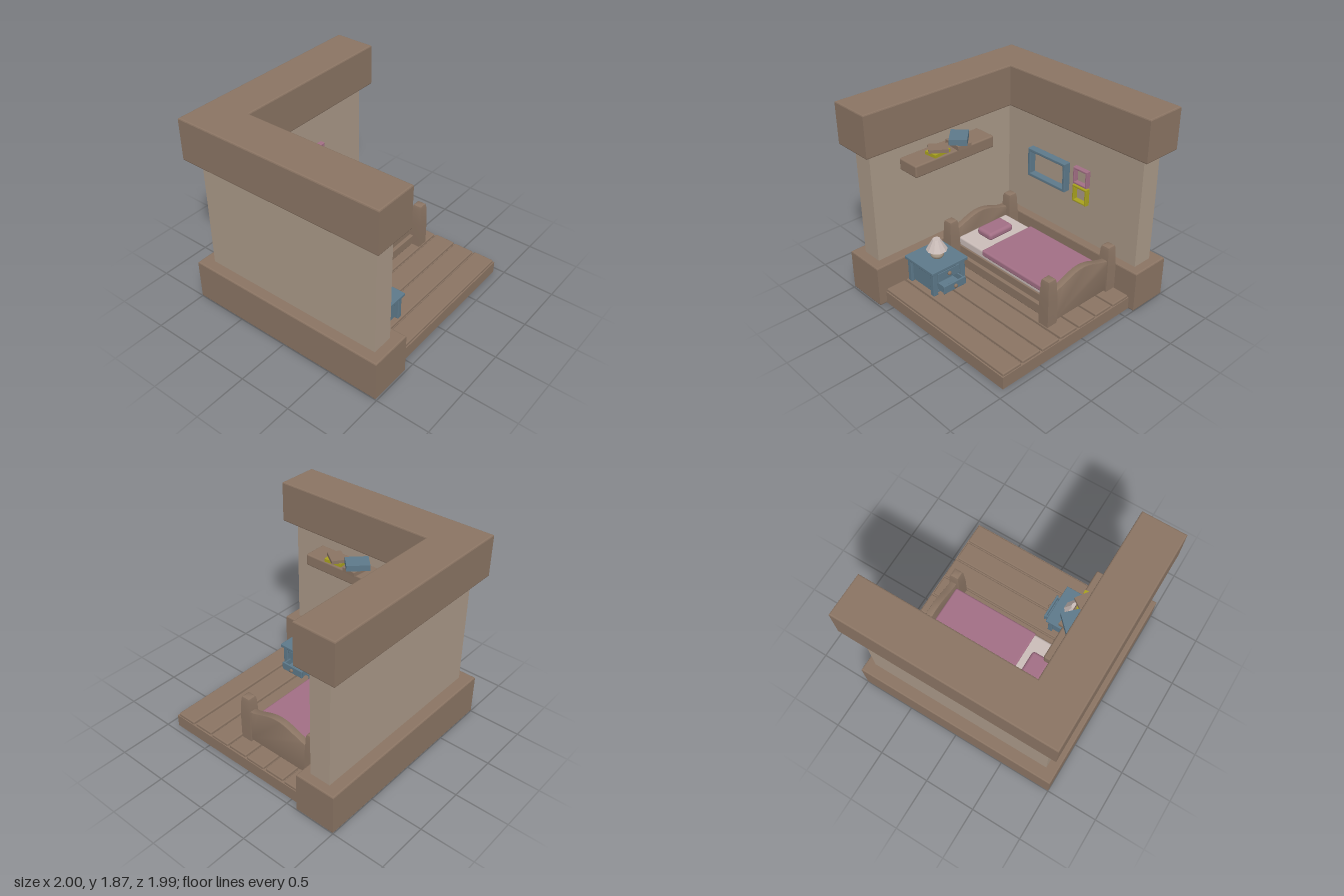
import * as THREE from 'three';
import { RoundedBoxGeometry } from 'three/addons/geometries/RoundedBoxGeometry.js';
import { toCreasedNormals } from 'three/addons/utils/BufferGeometryUtils.js';

const paint = (name, color) => {
  const m = new THREE.MeshStandardMaterial({ color });
  m.name = name;
  return m;
};

export function createModel() {
  const wood = paint('wood', 0x8a7463), plaster = paint('plaster', 0xa99887);
  const blue = paint('blue', 0x5d798a), pink = paint('pink', 0xa26f85);
  const yellow = paint('yellow', 0xa8a11f), linen = paint('linen', 0xcabcb8);
  const clay = paint('clay', 0xa39483);
  const room = new THREE.Group();
  room.name = 'bedroom';

  const add = (name, geo, mat, parent = room) => {
    const m = new THREE.Mesh(geo, mat);
    m.name = name;
    parent.add(m);
    return m;
  };
  const group = (name) => {
    const g = new THREE.Group();
    g.name = name;
    room.add(g);
    return g;
  };
  // Box from its limits; r is the edge rounding
  const box = (name, mat, [x0, x1], [y0, y1], [z0, z1], r = 0, parent = room) => {
    const s = [x1 - x0, y1 - y0, z1 - z0];
    const geo = r ? new RoundedBoxGeometry(...s, 2, r) : new THREE.BoxGeometry(...s);
    const m = add(name, geo, mat, parent);
    m.position.set((x0 + x1) / 2, (y0 + y1) / 2, (z0 + z1) / 2);
    return m;
  };
  const polygon = (pts) => new THREE.Shape(pts.map(([x, y]) => new THREE.Vector2(x, y)));
  const extrude = (shape, depth, b) => new THREE.ExtrudeGeometry(shape, {
    depth: depth - 2 * b, bevelEnabled: b > 0, bevelThickness: b, bevelSize: b,
    bevelOffset: -b, bevelSegments: 2, curveSegments: 12,
  }).translate(0, 0, b);

  // L-shaped walls: plinth, plaster and top beam
  const corner = (name, mat, x0, x1, x2, z0, z1, z2, y0, y1, b) => {
    const s = polygon([[x0, -z2], [x1, -z2], [x1, -z1], [x2, -z1], [x2, -z0], [x0, -z0]]);
    add(name, extrude(s, y1 - y0, b).rotateX(-Math.PI / 2), mat).position.y = y0;
  };
  corner('wallPlinth', wood, -1, -0.6, 1, -1, -0.61, 0.99, 0, 0.4, 0.012);
  corner('wall', plaster, -0.9, -0.7, 0.915, -0.89, -0.69, 0.9, 0.38, 1.5, 0);
  corner('wallBeam', wood, -1, -0.6, 1, -1, -0.61, 0.99, 1.475, 1.87, 0.012);

  // Floor slab and seven planks
  box('floorSlab', wood, [-0.62, 0.94], [0, 0.12], [-0.63, 0.915]);
  const planks = group('floorPlanks');
  for (let i = 0; i < 7; i++) {
    const z = -0.605 + i * 0.218;
    box('plank', wood, [-0.61, 0.932 - (i % 2) * 0.006], [0.11, 0.147], [z, z + 0.2], 0.012, planks);
  }

  // Bed
  const bed = group('bed');
  const q = Math.SQRT2;
  const postGeo = toCreasedNormals(new THREE.LatheGeometry([
    [0, 0], [0.055, 0], [0.055, 0.25], [0.046, 0.425], [0.04, 0.45], [0.024, 0.46], [0, 0.46],
  ].map(([r, y]) => new THREE.Vector2(r * q, y)), 4).rotateY(Math.PI / 4), 0.6);
  for (const x of [-0.54, 0.715]) for (const z of [-0.55, 0.19]) {
    add('bedPost', postGeo, wood, bed).position.set(x, 0.145, z);
  }
  // Arched boards at head and foot
  const arch = new THREE.Shape();
  arch.moveTo(-0.34, 0.16);
  arch.lineTo(0.34, 0.16);
  arch.lineTo(0.34, 0.43);
  arch.lineTo(0.32, 0.47);
  arch.bezierCurveTo(0.2, 0.49, 0.12, 0.555, 0, 0.555);
  arch.bezierCurveTo(-0.12, 0.555, -0.2, 0.49, -0.32, 0.47);
  arch.lineTo(-0.34, 0.43);
  const boardGeo = toCreasedNormals(extrude(arch, 0.066, 0.008).rotateY(Math.PI / 2), 0.5);
  add('headboard', boardGeo, wood, bed).position.set(-0.602, 0, -0.18);
  add('footboard', boardGeo, wood, bed).position.set(0.69, 0, -0.18);
  box('bedFrame', wood, [-0.54, 0.7], [0.2, 0.322], [-0.49, 0.13], 0.008, bed);
  for (const z of [-0.53, 0.13]) {
    box('sideRail', wood, [-0.53, 0.71], [0.15, 0.25], [z, z + 0.04], 0.008, bed);
  }
  box('mattress', linen, [-0.52, 0.685], [0.31, 0.4], [-0.475, 0.12], 0.02, bed);
  box('blanket', pink, [-0.19, 0.69], [0.35, 0.413], [-0.49, 0.13], 0.018, bed);
  const pillowGeo = new RoundedBoxGeometry(0.195, 0.075, 0.29, 4, 0.03);
  const pp = pillowGeo.attributes.position;
  for (let i = 0; i < pp.count; i++) {
    pp.setX(i, pp.getX(i) * (1 - 1.5 * pp.getZ(i) ** 2));
  }
  add('pillow', pillowGeo, pink, bed).position.set(-0.353, 0.428, -0.185);

  // Nightstand, drawers facing +x
  const stand = group('nightstand');
  box('standTop', blue, [-0.6, -0.2], [0.378, 0.41], [0.285, 0.69], 0.006, stand);
  for (const x of [-0.585, -0.265]) for (const z of [0.305, 0.62]) {
    box('standLeg', blue, [x, x + 0.045], [0.145, 0.385], [z, z + 0.05], 0.005, stand);
  }
  for (const z of [0.325, 0.63]) {
    box('sidePanel', blue, [-0.56, -0.24], [0.165, 0.38], [z, z + 0.015], 0, stand);
  }
  box('backPanel', blue, [-0.575, -0.56], [0.165, 0.38], [0.33, 0.64], 0, stand);
  box('standBottom', blue, [-0.56, -0.235], [0.16, 0.182], [0.33, 0.64], 0, stand);
  for (const y of [0.165, 0.262, 0.36]) {
    box('drawerRail', blue, [-0.26, -0.23], [y, y + 0.018], [0.35, 0.625], 0, stand);
  }
  // Drawers as open trays; the lower one is pulled out
  for (const [x, y] of [[-0.222, 0.28], [-0.14, 0.186]]) {
    const tray = group('drawer');
    stand.add(tray);
    box('drawerFront', blue, [x - 0.018, x], [y, y + 0.078], [0.365, 0.615], 0.004, tray);
    box('drawerBase', blue, [x - 0.25, x - 0.01], [y, y + 0.012], [0.375, 0.605], 0, tray);
    for (const z of [0.375, 0.593]) {
      box('drawerSide', blue, [x - 0.25, x - 0.01], [y, y + 0.07], [z, z + 0.012], 0, tray);
    }
    box('drawerBack', blue, [x - 0.25, x - 0.238], [y, y + 0.07], [0.375, 0.605], 0, tray);
    add('drawerKnob', new THREE.SphereGeometry(0.02, 12, 8).scale(0.7, 1, 1), wood, tray)
      .position.set(x + 0.01, y + 0.04, 0.49);
  }

  // Lamp
  const lamp = group('lamp');
  lamp.position.set(-0.388, 0.41, 0.485);
  add('lampBase', new THREE.LatheGeometry([
    [0, 0], [0.045, 0], [0.06, 0.018], [0.06, 0.035], [0.045, 0.06], [0.022, 0.075], [0.015, 0.11], [0, 0.11],
  ].map(([r, y]) => new THREE.Vector2(r, y)), 16), clay, lamp);
  const shadeGeo = toCreasedNormals(new THREE.CylinderGeometry(0.035, 0.098, 0.105, 10), 0.2);
  add('lampShade', shadeGeo, linen, lamp).position.y = 0.135;

  // Shelf with stacked books
  box('shelf', wood, [-0.71, -0.478], [1.205, 1.32], [-0.29, 0.595], 0.015);
  const books = group('books');
  const book = (mat, x, z, y0, y1, w, d, turn) => {
    const b = box('book', mat, [x - w / 2, x + w / 2], [y0, y1], [z - d / 2, z + d / 2], 0, books);
    b.rotation.y = turn;
  };
  book(blue, -0.553, 0.055, 1.36, 1.416, 0.213, 0.163, -0.785);
  book(wood, -0.55, 0.065, 1.32, 1.36, 0.2, 0.14, -0.1);
  book(wood, -0.548, 0.293, 1.35, 1.382, 0.13, 0.175, -0.62);
  book(yellow, -0.555, 0.295, 1.32, 1.35, 0.13, 0.18, 0.1);

  // Empty picture frames on the back wall
  const frame = (name, mat, x0, x1, y0, y1, border, depth) => {
    const rect = (i) => [[x0 + i, y0 + i], [x1 - i, y0 + i], [x1 - i, y1 - i], [x0 + i, y1 - i]];
    const s = polygon(rect(0));
    s.holes.push(polygon(rect(border)));
    add(name, extrude(s, depth, 0.005), mat).position.z = -0.693;
  };
  frame('largeFrame', blue, -0.37, 0.1, 0.84, 1.123, 0.028, 0.073);
  frame('upperFrame', pink, 0.18, 0.345, 0.965, 1.13, 0.02, 0.05);
  frame('lowerFrame', yellow, 0.18, 0.345, 0.785, 0.95, 0.02, 0.05);

  return room;
}
